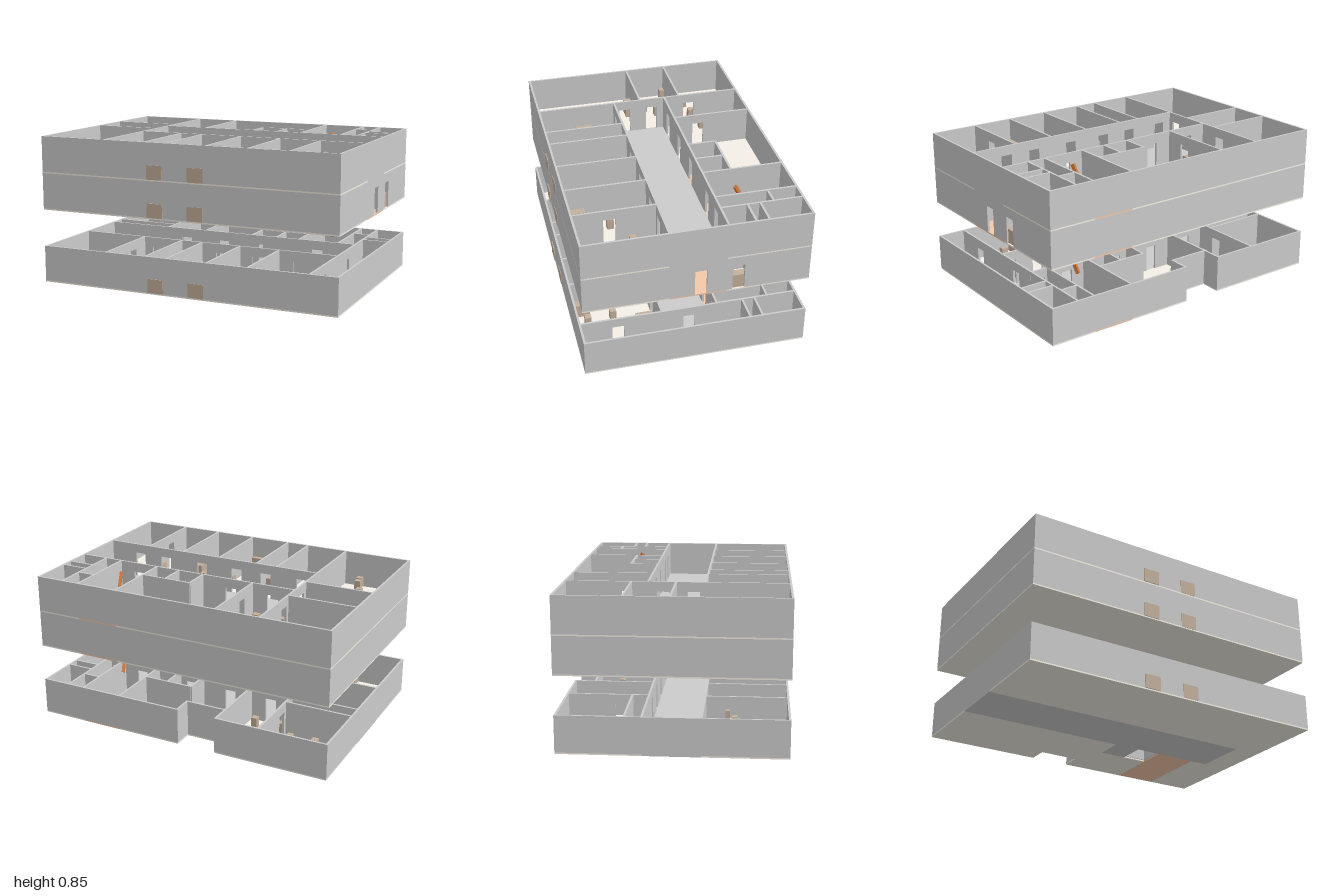
import * as THREE from 'three';

const U = 0.616, V = 0.892;            // half width and half depth of a storey
const HALL_L = -0.155, HALL_R = 0.157; // corridor walls
const T = 0.012, SLAB = 0.008, H = 0.212, DOOR_H = 0.15, DOOR_W = 0.033;
const ANGLE = 0.196;                   // plan is turned on the site

const mat = (color) => new THREE.MeshStandardMaterial({ color, flatShading: true });
const grey = mat(0xcccccc), pale = mat(0xf4f0e6), orange = mat(0xf5c8a8);
const brown = mat(0xc4b09c), rust = mat(0xd07a40), red = mat(0xd04030);

function box(parent, name, material, size, pos) {
  const m = new THREE.Mesh(new THREE.BoxGeometry(...size), material);
  m.position.set(...pos);
  m.name = name;
  parent.add(m);
  return m;
}

// Wall running along 'u' or 'v' at offset c from a to b, with door notches
function wall(parent, axis, c, a, b, doors = [], name = 'innerWall') {
  const h = H - SLAB;
  const pts = [[a, 0]];
  for (const d of doors) {
    pts.push([d - DOOR_W, 0], [d - DOOR_W, DOOR_H], [d + DOOR_W, DOOR_H], [d + DOOR_W, 0]);
  }
  pts.push([b, 0], [b, h], [a, h]);
  const shape = new THREE.Shape(pts.map((p) => new THREE.Vector2(...p)));
  const m = new THREE.Mesh(new THREE.ExtrudeGeometry(shape, { depth: T, bevelEnabled: false }), grey);
  if (axis === 'u') m.position.set(0, SLAB, c - T / 2);
  else {
    m.rotation.y = -Math.PI / 2;
    m.position.set(c + T / 2, SLAB, 0);
  }
  m.name = name;
  parent.add(m);
}

// Stair stringer between two site points, in the turned frame
function ramp(parent, from, to) {
  const turn = (p) => new THREE.Vector3(...p).applyAxisAngle(new THREE.Vector3(0, 1, 0), -ANGLE);
  const a = turn(from), b = turn(to);
  const m = box(parent, 'stairRamp', rust, [0.02, 0.018, a.distanceTo(b)], [0, 0, 0]);
  m.position.copy(a).add(b).multiplyScalar(0.5);
  m.quaternion.setFromUnitVectors(new THREE.Vector3(0, 0, 1), b.clone().sub(a).normalize());
}

function floorSlabs(g, level) {
  const ground = level === 0;
  const hall = level === 1 ? orange : grey;
  const slabs = [
    ['leftRoomsFloor', -U, HALL_L, -V, V, pale],
    ['backRightFloor', HALL_R, U, -V, -0.23, pale],
    ['sideRoomFloor', HALL_R, ground ? 0.5 : U, -0.23, 0, pale],
    ['besideShaftFloor', 0.317, U, 0, 0.383, pale],
    ['behindLobbyFloor', HALL_R, 0.317, 0, 0.08, pale],
    ['lobbyFloor', HALL_R, 0.317, 0.08, 0.236, ground ? grey : orange],
    ['stairFloor', HALL_R, U, 0.383, 0.626, orange],
    ['frontRightFloor', HALL_R, U, 0.626, V, pale],
    ['backHallFloor', HALL_L, HALL_R, -V, -0.49, ground ? grey : pale],
    ['hallFloor', HALL_L, HALL_R, -0.49, 0.73, hall],
    ['frontHallFloor', HALL_L, HALL_R, 0.73, V, ground ? pale : hall],
  ];
  for (const [name, u0, u1, v0, v1, m] of slabs) {
    box(g, name, m, [u1 - u0, SLAB, v1 - v0], [(u0 + u1) / 2, SLAB / 2, (v0 + v1) / 2]);
  }
}

function walls(g, level) {
  const ground = level === 0, t = T / 2;
  // Outer shell
  wall(g, 'u', -V + t, -U, U, [], 'backWall');
  wall(g, 'u', V - t, -U, U, level === 1 ? [0.016, 0.22] : [], 'frontWall');
  wall(g, 'v', -U + t, -V, V, [], 'leftWall');
  if (ground) {
    // Recess in the right side
    wall(g, 'v', U - t, -V, -0.23, [], 'rightWall');
    wall(g, 'v', U - t, 0, V, [], 'rightWall');
    wall(g, 'v', 0.5 - t, -0.23, 0, [], 'recessWall');
    wall(g, 'u', t, 0.5 - T, U, [], 'recessWall');
  } else wall(g, 'v', U - t, -V, V, [], 'rightWall');

  // Corridor walls
  const start = ground ? -V : -0.49, end = ground ? 0.73 : V;
  wall(g, 'v', HALL_L, start, end, [-0.4, -0.17, 0.02, 0.25, 0.5, 0.68], 'hallWall');
  wall(g, 'v', HALL_R, start, end, [-0.36, -0.1, 0.16, 0.5, 0.68], 'hallWall');
  if (ground) wall(g, 'u', 0.73, -U, HALL_R, [-0.4, 0], 'frontRoomWall');

  // Back rooms
  if (ground) {
    wall(g, 'u', -0.49, -U, HALL_L, [-0.3], 'backRoomWall');
    wall(g, 'u', -0.49, HALL_R, U, [0.31], 'backRoomWall');
  } else {
    wall(g, 'u', -0.49, -U, U, [-0.09, 0.075, 0.31], 'backRoomWall');
    wall(g, 'v', 0.006, -V, -0.49);
  }
  wall(g, 'v', 0.249, -V, -0.49);

  // Left room dividers
  for (const v of [-0.24, -0.106, 0.137, 0.38, 0.618]) {
    if (ground && v > 0.6) continue;
    wall(g, 'u', v, -U, HALL_L, v > 0.6 ? [-0.41] : []);
  }
  // Right room dividers
  wall(g, 'u', -0.233, HALL_R, U, ground ? [] : [0.3]);
  for (const v of [0.383, 0.626, 0.729]) wall(g, 'u', v, HALL_R, U);
  wall(g, 'v', 0.447, 0.626, 0.729);
  for (const u of [0.303, 0.373]) wall(g, 'v', u, 0.729, V);

  // Lobby and open shaft
  wall(g, 'u', 0.08, HALL_R, 0.317, [], 'lobbyWall');
  wall(g, 'u', 0.236, HALL_R, 0.317, [], 'shaftWall');
  wall(g, 'v', 0.317, 0.08, 0.383, [], 'shaftWall');
}

// Site positions of the furniture
const chairs = [
  [-.69, -.47], [-.64, -.49], [-.52, -.57], [-.33, -.49], [-.12, -.83], [.06, -.88], [-.06, -.71],
  [.02, -.66], [.19, -.76], [.23, -.62], [.14, -.49], [.29, -.49], [.18, -.34], [-.61, -.24],
  [-.32, -.23], [-.49, -.05], [-.31, .02], [-.51, .17], [-.24, .16], [-.32, .24], [-.45, .33],
  [-.18, .33], [-.42, .6], [-.28, .55], [-.16, .72], [-.31, .89], [.46, .23], [.39, .63],
  [.35, .73], [.73, .67], [.63, .67], [.66, .59], [.71, .58],
];
// x, z, long side along the depth?
const desks = [
  [-.16, -.68, 1], [.35, -.6, 0], [-.43, -.38, 0], [-.62, -.05, 1], [-.33, -.08, 0],
  [-.57, .19, 1], [-.26, .41, 0], [-.46, .51, 0], [-.1, .62, 0], [-.15, .915, 0],
  [.39, .8, 0], [.68, .535, 0], [.68, .735, 0],
];

function furniture(g) {
  const c = Math.cos(ANGLE), s = Math.sin(ANGLE);
  const at = (x, z, h) => [x * c - z * s, SLAB + h / 2, x * s + z * c];
  for (const [x, z] of chairs) box(g, 'chair', brown, [0.036, 0.06, 0.036], at(x, z, 0.06));
  for (const [x, z, deep] of desks) {
    box(g, 'desk', brown, deep ? [0.045, 0.08, 0.095] : [0.095, 0.08, 0.045], at(x, z, 0.08));
  }
}

export function createModel() {
  const model = new THREE.Group();
  model.name = 'building';
  const site = new THREE.Group();
  site.name = 'turnedPlan';
  site.rotation.y = ANGLE;
  model.add(site);

  [0, 0.425, 0.637].forEach((y, level) => {
    const g = new THREE.Group();
    g.name = ['groundStorey', 'middleStorey', 'topStorey'][level];
    g.position.y = y;
    floorSlabs(g, level);
    walls(g, level);
    furniture(g);
    site.add(g);
  });

  // Stairs linking the storeys
  ramp(site, [0.325, 0.425, 0.51], [0.425, 0.212, 0.46]);
  ramp(site, [0.395, 0.835, 0.47], [0.485, 0.65, 0.43]);
  box(site, 'wallBox', red, [0.02, 0.03, 0.02], [0.598, 0.75, 0.573]);
  return model;
}
